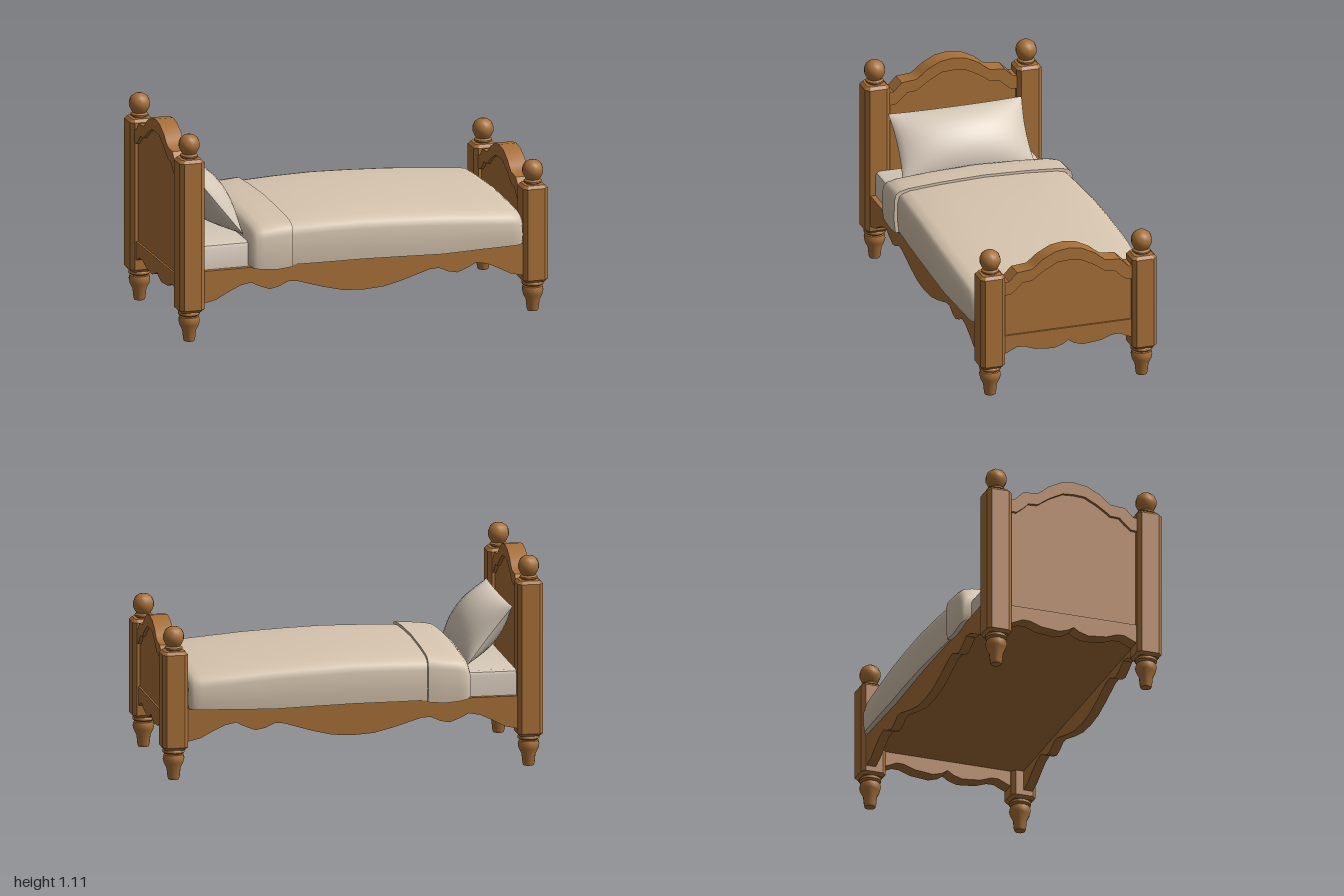
import * as THREE from 'three';
import { toCreasedNormals, mergeGeometries } from 'three/addons/utils/BufferGeometryUtils.js';

const wood = new THREE.MeshStandardMaterial({ color: 0xa87038 });
wood.name = 'warm wood';
const blanketCloth = new THREE.MeshStandardMaterial({ color: 0xd7c5af });
blanketCloth.name = 'beige blanket';
const linen = new THREE.MeshStandardMaterial({ color: 0xd5c8b8 });
linen.name = 'pale linen';

const CZ = -0.005; // the frame sits a touch towards the back

function add(parent, name, geometry, material, x = 0, y = 0, z = 0) {
  const mesh = new THREE.Mesh(geometry, material);
  mesh.name = name;
  mesh.position.set(x, y, z);
  parent.add(mesh);
  return mesh;
}

// Half profile (outside to centre) mirrored into a full left-to-right line
function mirrored(half) {
  const left = half.map(([x, y]) => [-x, y]);
  return left.concat(half.slice(0, -1).reverse());
}

// Extruded outline, centred on its thickness
function slab(points, depth) {
  const shape = new THREE.Shape(points.map(([x, y]) => new THREE.Vector2(x, y)));
  const g = new THREE.ExtrudeGeometry(shape, { depth, bevelEnabled: false });
  return toCreasedNormals(g.translate(0, 0, -depth / 2), 0.6);
}

function lathe(profile) {
  const pts = profile.map(([r, y]) => new THREE.Vector2(r, y));
  return toCreasedNormals(new THREE.LatheGeometry(pts, 12), 0.9);
}

// Square post with chamfered edges and bevelled ends
function postBlock(bottom, top) {
  const h = 0.052, c = 0.012, b = 0.0155;
  const s = new THREE.Shape([
    [-h + c, -h], [h - c, -h], [h, -h + c], [h, h - c],
    [h - c, h], [-h + c, h], [-h, h - c], [-h, -h + c],
  ].map(([x, y]) => new THREE.Vector2(x, y)));
  const g = new THREE.ExtrudeGeometry(s, {
    depth: top - bottom - 2 * b, bevelThickness: b, bevelSize: b, bevelSegments: 1,
  });
  return g.rotateX(-Math.PI / 2).translate(0, bottom + b, 0);
}

const footProfile = [[0, 0], [0.028, 0], [0.032, 0.012], [0.037, 0.06], [0.052, 0.09],
  [0.057, 0.112], [0.052, 0.132], [0.044, 0.135], [0.058, 0.145], [0.058, 0.156], [0.048, 0.165]];
const finialProfile = [[0.046, -0.01], [0.036, 0.002], [0.047, 0.008], [0.047, 0.016], [0.036, 0.024],
  [0.046, 0.04], [0.055, 0.06], [0.055, 0.082], [0.045, 0.107], [0.025, 0.122], [0, 0.126]];

// Arched top edge, relative to its peak
const arch = [[0.36, -0.15], [0.325, -0.145], [0.305, -0.125], [0.28, -0.1], [0.2, -0.093],
  [0.17, -0.07], [0.14, -0.045], [0.07, -0.01], [0, 0]];
const innerArch = [[0.36, -0.22], [0.315, -0.218], [0.28, -0.19], [0.25, -0.16], [0.2, -0.157],
  [0.17, -0.135], [0.13, -0.108], [0.06, -0.072], [0, -0.068]];
const endSkirt = [[0.36, 0.225], [0.33, 0.235], [0.28, 0.258], [0.24, 0.257], [0.18, 0.235],
  [0.08, 0.225], [0.03, 0.24], [0, 0.26]];
const sideSkirt = [[0.88, 0.2], [0.8, 0.218], [0.74, 0.25], [0.67, 0.283], [0.61, 0.294], [0.57, 0.273],
  [0.51, 0.25], [0.46, 0.26], [0.41, 0.283], [0.36, 0.28], [0.22, 0.237], [0.11, 0.21], [0, 0.203]];

// Head or foot end: two turned posts, panel, arched rim and lower rail
function makeEnd(name, x, peak) {
  const end = new THREE.Group();
  end.name = name;
  end.position.set(x, 0, CZ);
  const postTop = peak - 0.1;
  for (const side of [-1, 1]) {
    const z = side * 0.4125;
    add(end, 'post', postBlock(0.16, postTop), wood, 0, 0, z);
    add(end, 'postFoot', lathe(footProfile), wood, 0, 0, z);
    add(end, 'finial', lathe(finialProfile), wood, 0, postTop, z);
  }
  const lift = (half, y) => mirrored(half).map(([u, v]) => [u, v + y]);
  const outer = lift(arch, peak), inner = lift(innerArch, peak), skirt = mirrored(endSkirt);
  const parts = {
    archedRim: [inner.concat([...outer].reverse()), 0.095],
    panel: [[[-0.36, 0.3], [0.36, 0.3]].concat(lift(innerArch, peak + 0.01).reverse()), 0.06],
    lowerRail: [skirt.concat([[0.36, 0.33], [-0.36, 0.33]]), 0.08],
  };
  for (const [part, [points, depth]] of Object.entries(parts)) {
    add(end, part, slab(points, depth).rotateY(Math.PI / 2), wood);
  }
  return end;
}

// Cloth lofted over stations of [x, half width, top height, hem height]
function drape(stations) {
  const pos = [], index = [];
  let n = 0;
  for (const [x, h, top, hem] of stations) {
    const edge = top - 0.032;
    const half = [[0.985, hem], [1, hem + 0.3 * (edge - hem)], [0.997, edge - 0.05], [0.98, edge - 0.016],
      [0.945, edge], [0.85, edge + 0.012], [0.5, top - 0.008], [0, top]];
    const ring = half.concat(half.slice(0, -1).reverse().map(([z, y]) => [-z, y]));
    n = ring.length;
    for (const [z, y] of ring) pos.push(x, y, z * h);
  }
  const last = (stations.length - 1) * n;
  for (let i = 0; i < stations.length - 1; i++) {
    for (let j = 0; j < n; j++) {
      const k = (j + 1) % n;
      const a = i * n + j, b = i * n + k, c = a + n, d = b + n;
      index.push(a, c, b, b, c, d);
    }
  }
  for (let j = 1; j < n - 1; j++) {
    index.push(0, j, j + 1, last, last + j + 1, last + j);
  }
  const g = new THREE.BufferGeometry();
  g.setAttribute('position', new THREE.Float32BufferAttribute(pos, 3));
  g.setIndex(index);
  return toCreasedNormals(g, 0.95);
}

// Plump cushion: two bulged sheets meeting at a pinched seam
function cushion(halfWidth, halfLength, bulge) {
  const sheet = () => {
    const g = new THREE.PlaneGeometry(2, 2, 16, 16);
    const p = g.attributes.position;
    for (let i = 0; i < p.count; i++) {
      const u = Math.sin(p.getX(i) * Math.PI / 2), v = Math.sin(p.getY(i) * Math.PI / 2);
      const w = Math.pow(Math.max(0, (1 - u * u) * (1 - v * v)), 0.6);
      p.setXYZ(i,
        u * halfWidth * (0.96 + 0.04 * v * v),
        v * halfLength * (0.97 + 0.03 * u * u),
        bulge * w);
    }
    g.computeVertexNormals();
    return g;
  };
  return mergeGeometries([sheet(), sheet().rotateY(Math.PI)]);
}

export function createModel() {
  const bed = new THREE.Group();
  bed.name = 'bed';

  bed.add(makeEnd('headboard', -0.9325, 1.08));
  bed.add(makeEnd('footboard', 0.9325, 0.78));

  // Scalloped side rails
  const railPoints = mirrored(sideSkirt).concat([[0.88, 0.375], [-0.88, 0.375]]);
  for (const side of [-1, 1]) {
    add(bed, side > 0 ? 'frontRail' : 'backRail', slab(railPoints, 0.05), wood, 0, 0, CZ + side * 0.432);
  }
  add(bed, 'bedBase', new THREE.BoxGeometry(1.78, 0.04, 0.84), wood, 0, 0.33, CZ);

  // Mattress with softened top edges
  const m = [[-0.43, 0.35], [0.43, 0.35], [0.43, 0.485], [0.424, 0.5], [0.408, 0.508],
    [-0.408, 0.508], [-0.424, 0.5], [-0.43, 0.485]];
  add(bed, 'mattress', slab(m, 1.73).rotateY(Math.PI / 2), linen, 0, 0, CZ);

  add(bed, 'blanket', drape([
    [-0.45, 0.466, 0.605, 0.372], [-0.39, 0.47, 0.612, 0.372], [-0.2, 0.481, 0.618, 0.373],
    [0, 0.489, 0.62, 0.374], [0.2, 0.494, 0.613, 0.37], [0.42, 0.496, 0.602, 0.364],
    [0.64, 0.493, 0.585, 0.37], [0.8, 0.49, 0.572, 0.373], [0.835, 0.486, 0.566, 0.374],
    [0.853, 0.478, 0.555, 0.376], [0.862, 0.465, 0.54, 0.38],
  ]), blanketCloth, 0, 0, CZ);

  add(bed, 'blanketFold', drape([
    [-0.618, 0.468, 0.545, 0.385], [-0.605, 0.482, 0.582, 0.375], [-0.585, 0.489, 0.602, 0.37],
    [-0.55, 0.49, 0.611, 0.364], [-0.48, 0.49, 0.618, 0.358], [-0.392, 0.488, 0.625, 0.366],
  ]), blanketCloth, 0, 0, CZ);

  // Pillow leaning on the headboard
  const pillow = cushion(0.363, 0.19, 0.108).rotateY(Math.PI / 2).rotateZ(0.67);
  add(bed, 'pillow', pillow, linen, -0.74, 0.677, CZ);

  return bed;
}
